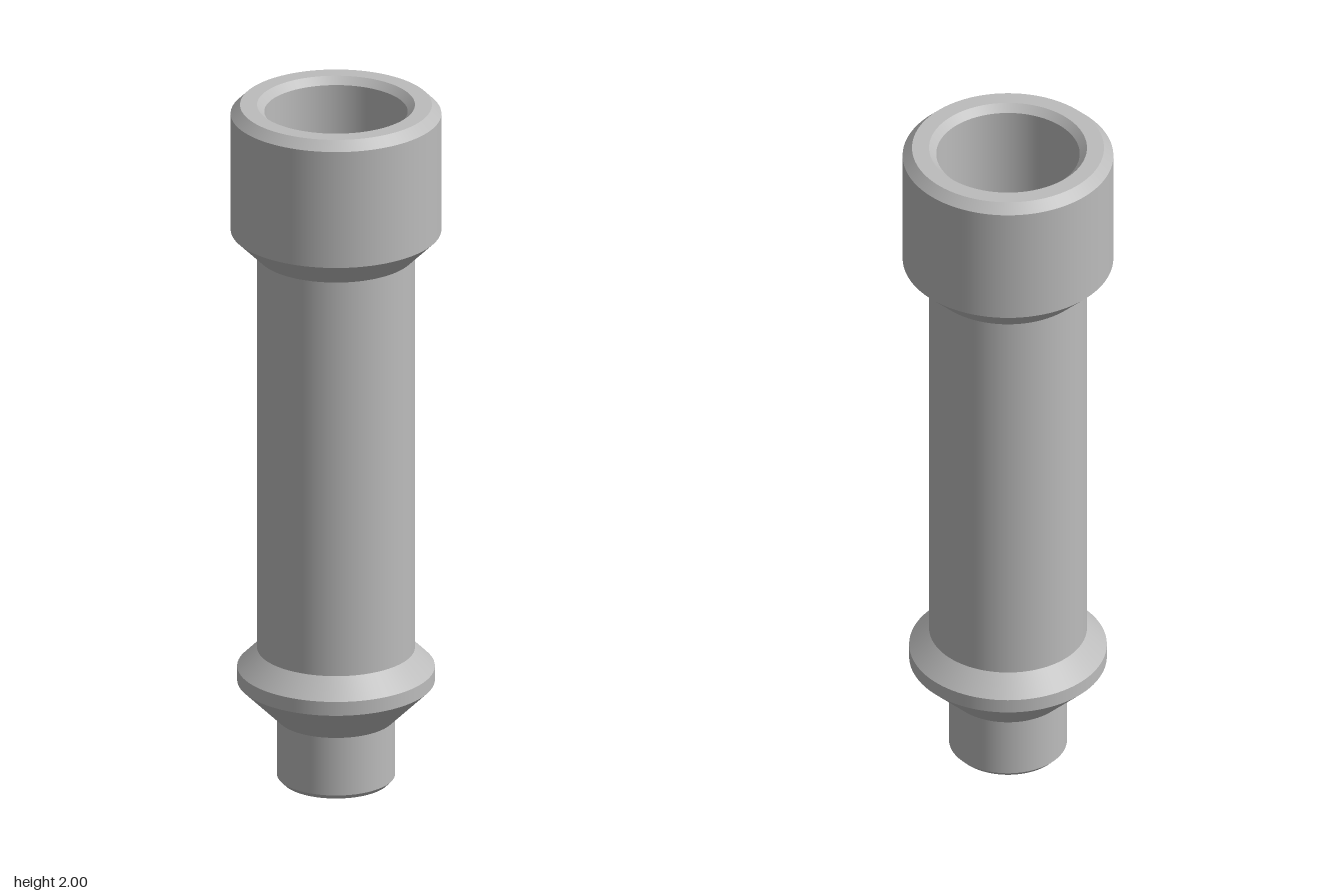
import * as THREE from 'three';
import { mergeGeometries } from 'three/addons/utils/BufferGeometryUtils.js';

const SIDES = 96;

// Revolves each profile segment on its own so that the edges between them stay crisp
function turned(name, profile, material) {
  const bands = [];
  for (let i = 0; i < profile.length - 1; i++) {
    const ends = [profile[i], profile[i + 1]].map(([r, y]) => new THREE.Vector2(r, y));
    bands.push(new THREE.LatheGeometry(ends, SIDES));
  }
  const mesh = new THREE.Mesh(mergeGeometries(bands), material);
  mesh.name = name;
  return mesh;
}

export function createModel() {
  const model = new THREE.Group();
  model.name = 'turnedSleeve';
  const metal = new THREE.MeshStandardMaterial({ color: 0xbcbcbc });
  metal.name = 'grey metal';

  // Profiles are [radius, height], running up the outside and down the inside
  model.add(
    // Narrow foot with a chamfered lower edge
    turned('foot', [[0, 0], [0.15, 0], [0.163, 0.014], [0.163, 0.185]], metal),
    // Flared collar with a short straight rim
    turned('collar', [[0.163, 0.185], [0.273, 0.294], [0.273, 0.335], [0.218, 0.39]], metal),
    // Long plain shaft
    turned('shaft', [[0.218, 0.39], [0.218, 1.558]], metal),
    // Wide head with a chamfered top
    turned('head', [[0.218, 1.558], [0.291, 1.63], [0.291, 1.974], [0.265, 2], [0.218, 2]], metal),
    // Round blind bore with a chamfered mouth
    turned('bore', [[0.218, 2], [0.198, 1.98], [0.198, 1.6], [0, 1.6]], metal)
  );
  return model;
}
